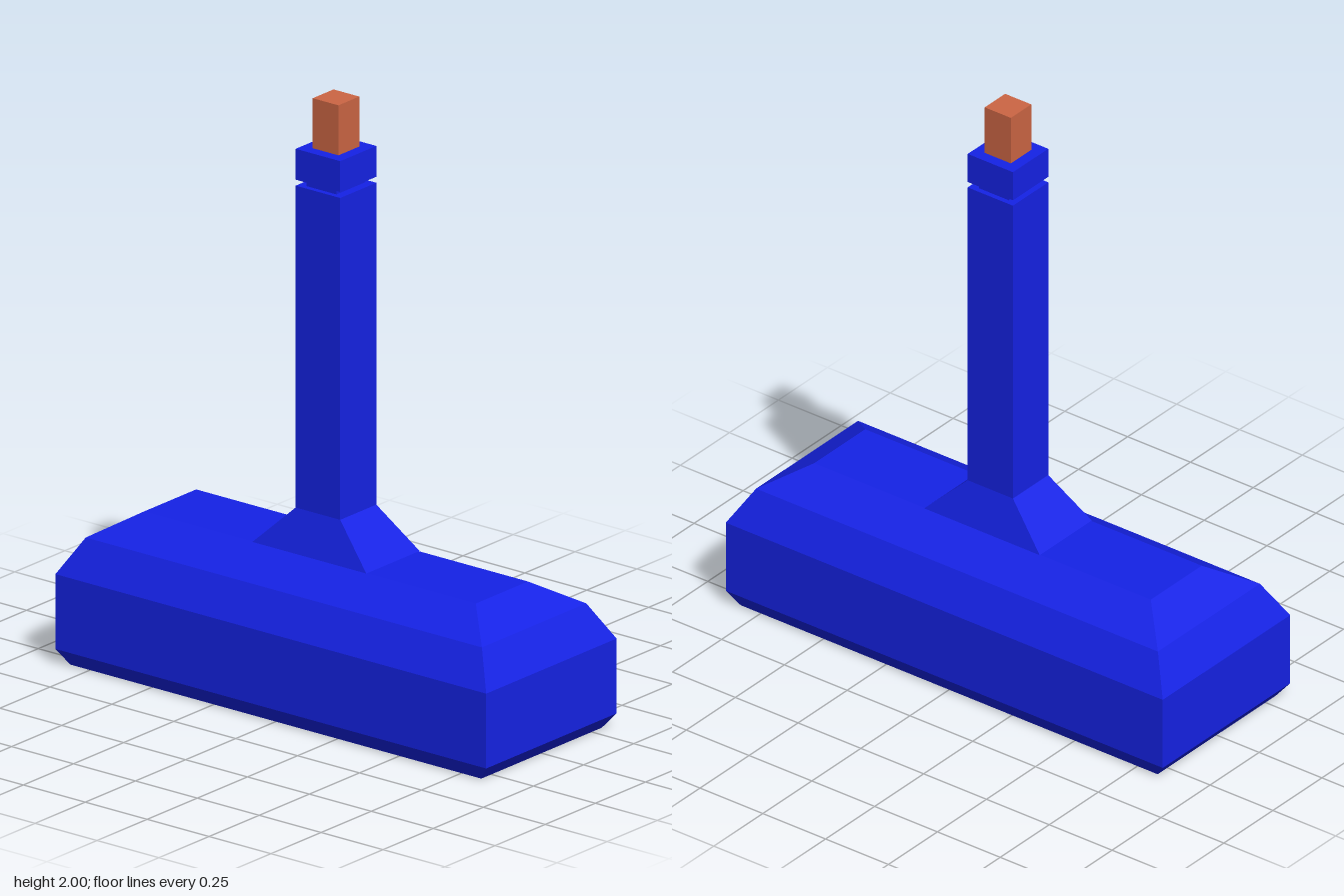
import * as THREE from 'three';

// Stacks rectangular sections [y, halfWidth, halfDepth] into a closed faceted solid
function loft(sections) {
  const corners = [[1, 1], [1, -1], [-1, -1], [-1, 1]];
  const rings = sections.map(([y, w, d]) => corners.map(([sx, sz]) => [sx * w, y, sz * d]));
  const pos = [];
  const quad = (a, b, c, d) => pos.push(...a, ...b, ...c, ...a, ...c, ...d);
  for (let i = 0; i < rings.length - 1; i++) {
    for (let k = 0; k < 4; k++) {
      const n = (k + 1) % 4;
      quad(rings[i][k], rings[i][n], rings[i + 1][n], rings[i + 1][k]);
    }
  }
  quad(...rings[rings.length - 1]);
  quad(...[...rings[0]].reverse());
  const geo = new THREE.BufferGeometry();
  geo.setAttribute('position', new THREE.Float32BufferAttribute(pos, 3));
  geo.computeVertexNormals();
  return geo;
}

export function createModel() {
  const group = new THREE.Group();
  const blue = new THREE.MeshStandardMaterial({ color: 0x1522e6, flatShading: true });
  const copper = new THREE.MeshStandardMaterial({ color: 0xcc6644, flatShading: true });

  const add = (name, material, sections) => {
    const mesh = new THREE.Mesh(loft(sections), material);
    mesh.name = name;
    group.add(mesh);
  };

  // Wide head with bevelled shoulders and a chamfered base
  add('head', blue, [
    [0, 0.83, 0.30], [0.05, 0.87, 0.325], [0.30, 0.87, 0.325],
    [0.42, 0.80, 0.26], [0.50, 0.67, 0.13],
  ]);

  // Flared socket running into the square shaft
  add('shaft', blue, [[0.50, 0.23, 0.133], [0.635, 0.09, 0.09], [1.71, 0.09, 0.09]]);

  // Recessed neck and the collar above it
  add('neck', blue, [[1.71, 0.06, 0.072], [1.73, 0.06, 0.072]]);
  add('collar', blue, [[1.73, 0.09, 0.09], [1.833, 0.09, 0.09]]);

  // Coloured tip
  add('tip', copper, [[1.833, 0.052, 0.052], [2.0, 0.052, 0.052]]);

  return group;
}
